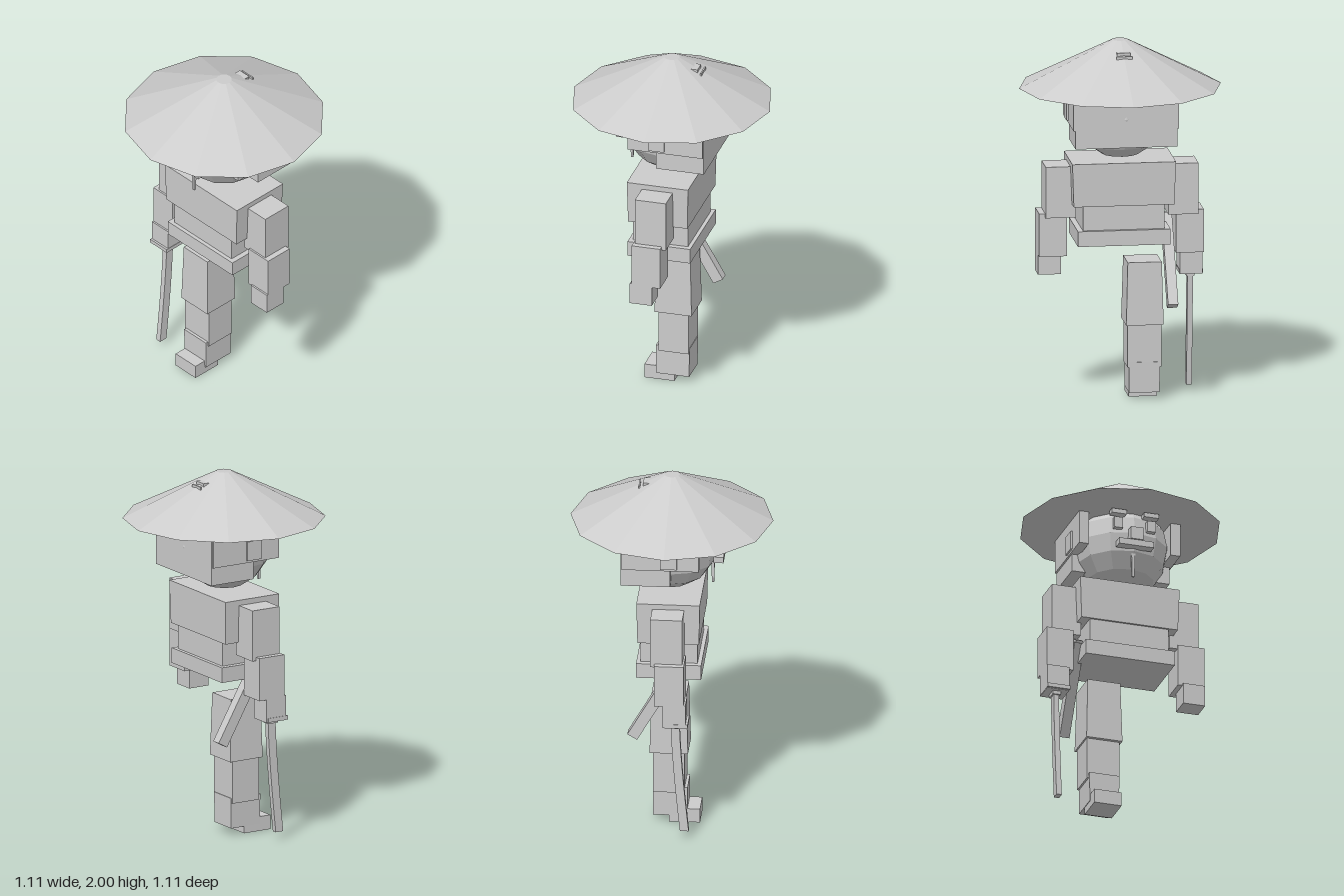
import * as THREE from 'three';

export function createModel() {
  const root = new THREE.Group();
  const grey = new THREE.MeshStandardMaterial({ color: 0xcccccc });
  grey.name = 'plain grey';
  grey.flatShading = true;

  function add(name, geo, parent = root) {
    const m = new THREE.Mesh(geo, grey);
    m.name = name;
    parent.add(m);
    return m;
  }

  // Box by its extents; taper scales the bottom face in x and z
  function box(name, x0, x1, y0, y1, z0, z1, taper = 1, parent = root) {
    const geo = new THREE.BoxGeometry(x1 - x0, y1 - y0, z1 - z0);
    const p = geo.attributes.position;
    for (let i = 0; i < p.count; i++) {
      if (p.getY(i) < 0) p.setXYZ(i, p.getX(i) * taper, p.getY(i), p.getZ(i) * taper);
    }
    geo.computeVertexNormals();
    const m = add(name, geo, parent);
    m.position.set((x0 + x1) / 2, (y0 + y1) / 2, (z0 + z1) / 2);
    return m;
  }

  // Straw hat
  add('hat', new THREE.CylinderGeometry(0.043, 0.555, 0.26, 12)).position.y = 1.87;

  // Hair knot poking through the back of the hat
  box('topknot', -0.037, 0.037, 1.85, 1.957, -0.155, -0.1);
  box('topknotBand', -0.043, 0.043, 1.86, 1.942, -0.18, -0.172);

  // Head and hair
  const head = new THREE.Group();
  head.name = 'head';
  root.add(head);
  add('skull', new THREE.SphereGeometry(0.263, 12, 8), head).position.y = 1.608;
  box('backHair', -0.28, 0.28, 1.45, 1.78, -0.26, 0.012, 1, head);
  box('nose', -0.035, 0.035, 1.555, 1.627, 0.24, 0.3, 1, head);
  box('moustache', -0.1, 0.1, 1.52, 1.555, 0.235, 0.29, 1, head);
  box('goatee', -0.011, 0.011, 1.36, 1.515, 0.215, 0.235, 0.6, head);

  for (const s of [-1, 1]) {
    const side = s > 0 ? 'left' : 'right';
    const mirrored = (name, a, b, ...rest) =>
      box(side + name, Math.min(a * s, b * s), Math.max(a * s, b * s), ...rest);
    // Face and side hair
    mirrored('SideHair', 0.235, 0.29, 1.55, 1.78, -0.255, 0.17, 1, head);
    mirrored('Ear', 0.28, 0.3, 1.563, 1.67, -0.04, 0.05, 1, head);
    mirrored('Eye', 0.07, 0.118, 1.627, 1.69, 0.235, 0.265, 1, head);
    mirrored('Eyebrow', 0.05, 0.135, 1.71, 1.735, 0.225, 0.27, 1, head);
    // Arms
    const handY = s > 0 ? 0.7 : 0.68;
    mirrored('UpperArm', 0.255, 0.42, 1.03, 1.315, -0.085, 0.09);
    mirrored('Forearm', 0.3, 0.453, 0.81, 1.05, -0.062, 0.1);
    mirrored('Hand', 0.327, 0.453, handY, 0.82, -0.015, 0.11);
  }

  // Torso
  box('chest', -0.285, 0.285, 1.105, 1.345, -0.172, 0.175, 0.97);
  box('abdomen', -0.225, 0.225, 0.93, 1.11, -0.155, 0.158);
  box('belt', -0.255, 0.255, 0.885, 0.97, -0.176, 0.18);

  // Single leg
  const leg = new THREE.Group();
  leg.name = 'leg';
  root.add(leg);
  box('thigh', -0.217, -0.03, 0.42, 0.77, -0.095, 0.096, 1.1, leg);
  box('shin', -0.218, -0.03, 0.182, 0.425, -0.085, 0.086, 1, leg);
  box('ankle', -0.208, -0.037, 0.04, 0.21, -0.088, 0.102, 0.98, leg);
  box('foot', -0.203, -0.047, 0, 0.08, 0, 0.17, 1, leg);

  // Scabbard hung at the hip, slanting backwards
  const scabbard = new THREE.Group();
  scabbard.name = 'scabbard';
  scabbard.position.set(-0.263, 0.77, -0.063);
  scabbard.rotation.x = Math.PI / 6;
  root.add(scabbard);
  box('scabbardBody', -0.028, 0.028, -0.262, 0.262, -0.031, 0.031, 1, scabbard);
  box('scabbardMouth', -0.02, 0.02, 0.262, 0.275, -0.022, 0.022, 1, scabbard);

  // Sword held downwards: guard, collar and curved blade
  const sword = new THREE.Group();
  sword.name = 'sword';
  root.add(sword);
  box('guard', -0.455, -0.325, 0.682, 0.704, -0.005, 0.122, 1, sword);
  box('collar', -0.413, -0.367, 0.66, 0.684, 0.02, 0.084, 1, sword);
  const bladeGeo = new THREE.BoxGeometry(0.03, 0.64, 0.048, 1, 7, 1);
  const bp = bladeGeo.attributes.position;
  for (let i = 0; i < bp.count; i++) {
    const t = 0.5 - bp.getY(i) / 0.64;
    bp.setZ(i, bp.getZ(i) + 0.05 + 0.05 * Math.pow(t, 1.4));
  }
  bladeGeo.computeVertexNormals();
  add('blade', bladeGeo, sword).position.set(-0.39, 0.36, 0);

  return root;
}
